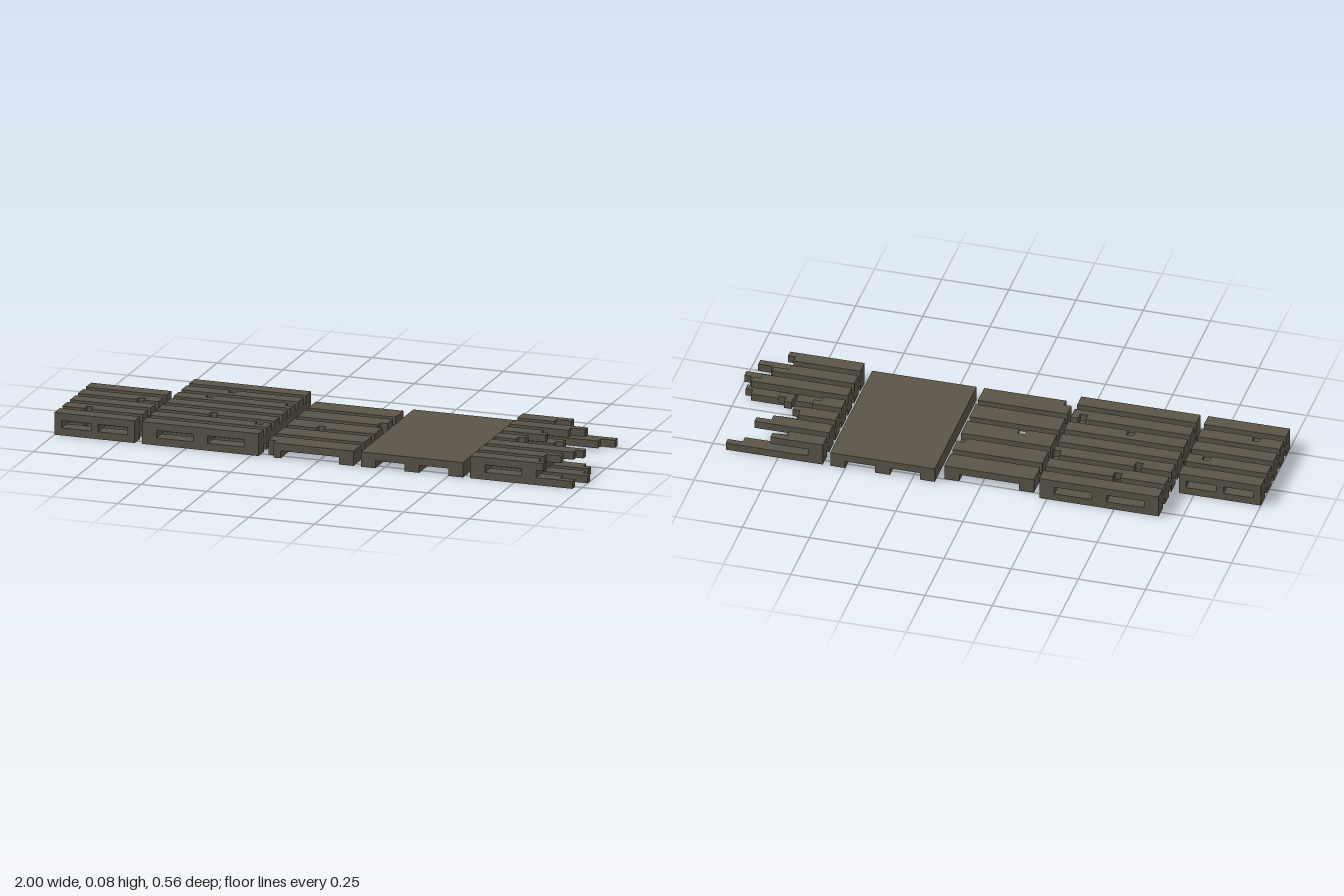
import * as THREE from 'three';

const U = 1 / 36; // one grid step; all sizes below are in grid steps
const wood = new THREE.MeshStandardMaterial({ color: 0x5a5448 });
wood.name = 'weatheredWood';

// Flat slab from an x/z outline, lying between heights y and y + 1
function slab(parent, name, outline, y) {
  const shape = new THREE.Shape(outline.map(([x, z]) => new THREE.Vector2(x * U, z * U)));
  const geo = new THREE.ExtrudeGeometry(shape, { depth: U, bevelEnabled: false });
  geo.rotateX(Math.PI / 2).translate(0, (y + 1) * U, 0);
  const mesh = new THREE.Mesh(geo, wood);
  mesh.name = name;
  parent.add(mesh);
}

const rect = (x0, x1, z0, z1) => [[x0, z0], [x1, z0], [x1, z1], [x0, z1]];

// Plank outline with one-step chips at given x along its back or front edge
function plankOutline(x0, x1, z0, z1, chips = {}) {
  const pts = [[x0, z0]];
  for (const c of chips.back || []) pts.push([c, z0], [c, z0 + 1], [c + 1, z0 + 1], [c + 1, z0]);
  pts.push([x1, z0], [x1, z1]);
  for (const c of chips.front || []) pts.push([c + 1, z1], [c + 1, z1 - 1], [c, z1 - 1], [c, z1]);
  pts.push([x0, z1]);
  return pts;
}

// Two-row plank whose rows snap off at different lengths
const brokenOutline = (x0, z0, [a, b]) =>
  [[x0, z0], [a, z0], [a, z0 + 1], [b, z0 + 1], [b, z0 + 2], [x0, z0 + 2]];

function pallet(root, name) {
  const g = new THREE.Group();
  g.name = name;
  root.add(g);
  return g;
}

// Double-decked pallet: planks below and above a set of runners
function doublePallet(root, name, x0, x1, z0, count, runners, topChips, bottomChips) {
  const g = pallet(root, name);
  for (let i = 0; i < count; i++) {
    const z = z0 + i * 3;
    slab(g, 'bottomPlank', plankOutline(x0, x1, z, z + 2, bottomChips[i]), 0);
    slab(g, 'topPlank', plankOutline(x0, x1, z, z + 2, topChips[i]), 2);
  }
  for (const [a, b] of runners) slab(g, 'runner', rect(a, b, z0, z0 + count * 3 - 1), 1);
}

export function createModel() {
  const root = new THREE.Group();
  root.name = 'woodenPallets';

  doublePallet(root, 'smallPallet', -36, -25, -4, 5,
    [[-36, -35], [-31, -30], [-26, -25]],
    { 1: { front: [-28] }, 3: { front: [-33] } },
    { 3: { front: [-33] } });

  doublePallet(root, 'largePallet', -24, -8, -10, 7,
    [[-24, -22], [-17, -15], [-10, -8]],
    { 1: { back: [-18] }, 2: { back: [-20, -9] }, 4: { front: [-17] }, 5: { back: [-10] } },
    {});

  // Single-decked pallet with chipped edges
  const single = pallet(root, 'singleDeckPallet');
  slab(single, 'topPlank', plankOutline(-7, 5, -9, -6), 1);
  slab(single, 'topPlank',
    [[-7, -5], [5, -5], [5, -3], [4, -3], [4, -2], [-7, -2]], 1);
  slab(single, 'topPlank', plankOutline(-7, 5, -1, 2, { front: [-3] }), 1);
  slab(single, 'topPlank', plankOutline(-7, 5, 3, 6), 1);
  slab(single, 'topPlank', [[-7, 7], [5, 7], [5, 10], [-6, 10], [-6, 9], [-7, 9]], 1);
  slab(single, 'leftRunner',
    [[3, -9], [5, -9], [5, -3], [4, -3], [4, -2], [5, -2], [5, 10], [3, 10]], 0);
  slab(single, 'rightRunner', [[-7, -9], [-5, -9], [-5, 10], [-6, 10], [-6, 9], [-7, 9]], 0);

  // Solid board on three runners
  const solid = pallet(root, 'solidPallet');
  slab(solid, 'deck', rect(6, 20, -10, 10), 1);
  for (const x of [6, 12, 18]) slab(solid, 'runner', rect(x, x + 2, -10, 10), 0);

  // Broken pallet: row end positions of each plank, back to front
  const broken = pallet(root, 'brokenPallet');
  const topEnds = [[28, 26], [31, 29], [26, 27], [25, 24], [34, 33], [32, 30], [30, 31]];
  const bottomEnds = [[34, 32], [28, 27], [28, 29], [27, 25], [34, 35], [35, 36], [33, 35]];
  for (let i = 0; i < 7; i++) {
    const z = -10 + i * 3;
    slab(broken, 'brokenBottomPlank', brokenOutline(21, z, bottomEnds[i]), 0);
    slab(broken, 'brokenTopPlank', brokenOutline(21, z, topEnds[i]), 2);
  }
  slab(broken, 'sideRunner', rect(21, 23, -10, 10), 1);
  slab(broken, 'brokenRunner', [[28, 0], [29, 0], [29, 1], [30, 1], [30, 10], [28, 10]], 1);

  return root;
}
